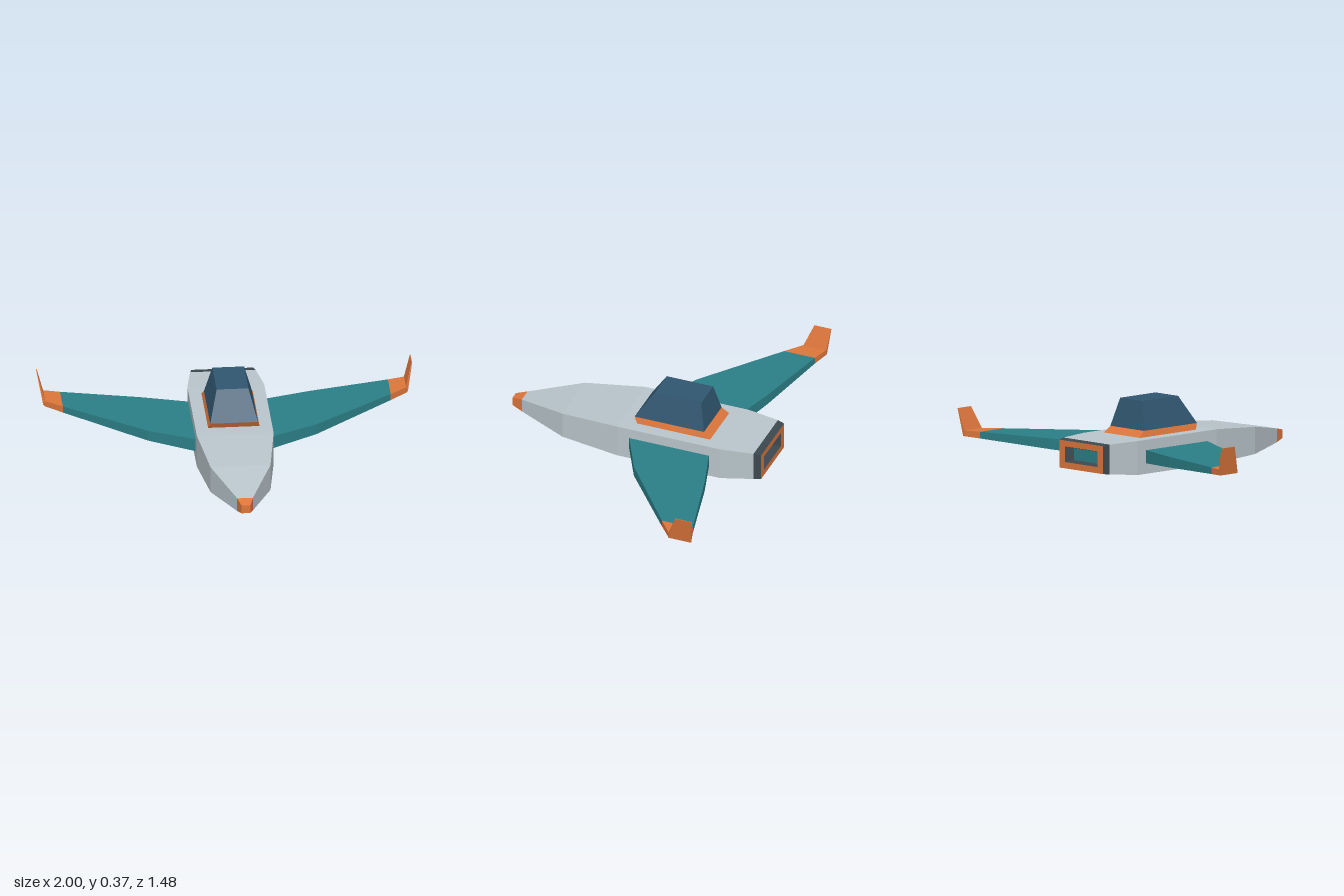
import * as THREE from 'three';

const flat = (name, color) => {
  const m = new THREE.MeshStandardMaterial({ color });
  m.name = name;
  return m;
};

// Skin between four-cornered rings; optional caps close the first and last ring.
function loft(rings, capStart = false, capEnd = false) {
  const pos = [];
  const quad = (a, b, c, d) => pos.push(...a, ...b, ...c, ...a, ...c, ...d);
  for (let r = 0; r < rings.length - 1; r++) {
    const a = rings[r], b = rings[r + 1];
    for (let i = 0; i < 4; i++) {
      const j = (i + 1) % 4;
      quad(a[i], a[j], b[j], b[i]);
    }
  }
  if (capStart) quad(...[...rings[0]].reverse());
  if (capEnd) quad(...rings[rings.length - 1]);
  const g = new THREE.BufferGeometry();
  g.setAttribute('position', new THREE.Float32BufferAttribute(pos, 3));
  g.computeVertexNormals();
  return g;
}

// Rings facing +z, +x and +y
const hullRing = ([z, w, y0, y1]) => [[-w, y0, z], [w, y0, z], [w, y1, z], [-w, y1, z]];
const wingRing = ([x, zf, zb, y0, y1]) => [[x, y0, zf], [x, y0, zb], [x, y1, zb], [x, y1, zf]];
const deckRing = ([y, w, zf, zb]) => [[-w, y, zf], [w, y, zf], [w, y, zb], [-w, y, zb]];
const mirror = (ring) => ring.map(([x, y, z]) => [-x, y, z]).reverse();

export function createModel() {
  const model = new THREE.Group();
  model.name = 'glider';
  const hullGrey = flat('hull grey', 0xb9c5cb);
  const teal = flat('wing teal', 0x2b7f86);
  const orange = flat('trim orange', 0xdd763c);
  const glass = flat('canopy blue', 0x30566f);
  const dark = flat('dark grey', 0x3c484e);

  const add = (name, geometry, material, parent = model) => {
    const mesh = new THREE.Mesh(geometry, material);
    mesh.name = name;
    parent.add(mesh);
  };

  // Fuselage stations from the engine recess to the nose: z, half width, bottom, top
  const panel = [-0.70, 0.095, 0.072, 0.136];
  const opening = [-0.74, 0.122, 0.062, 0.146];
  const rear = [-0.74, 0.165, 0.028, 0.178];
  const tail = [-0.70, 0.175, 0.024, 0.184];
  const body = [
    tail,
    [-0.52, 0.205, 0.004, 0.187],
    [0.07, 0.205, 0.004, 0.187],
    [0.40, 0.16, 0.013, 0.16],
    [0.68, 0.042, 0.033, 0.108],
  ];
  const nose = [0.74, 0.024, 0.048, 0.094];
  const hull = (...stations) => stations.map(hullRing);

  add('fuselage', loft(hull(...body)), hullGrey);
  add('noseTip', loft(hull(body[4], nose), false, true), orange);
  add('tailBand', loft(hull(rear, tail)), dark);
  add('exhaustFrame', loft(hull(opening, rear)), orange);
  add('exhaustWalls', loft(hull(panel, opening)), dark);
  const inner = hullRing(panel);
  add('exhaustPanel', loft([inner, inner], true), teal);

  // Cockpit: flared sill and tapered canopy
  add('canopySill', loft([[0.184, 0.138, -0.02, -0.44], [0.22, 0.127, 0, -0.397]].map(deckRing), true, true), orange);
  add('canopy', loft([[0.22, 0.127, 0, -0.397], [0.372, 0.085, -0.10, -0.365]].map(deckRing), true, true), glass);

  // Wings: x, front z, back z, bottom, top
  const wing = [
    [0.2, 0.002, -0.455, 0.06, 0.131],
    [0.45, -0.125, -0.53, 0.073, 0.131],
    [0.875, -0.455, -0.632, 0.095, 0.131],
  ].map(wingRing);
  const tip = wingRing([0.967, -0.53, -0.66, 0.1, 0.131]);
  const winglet = [
    [[0.963, 0.13, -0.53], [0.972, 0.1, -0.53], [0.972, 0.1, -0.662], [0.963, 0.13, -0.662]],
    [[0.996, 0.25, -0.58], [1, 0.25, -0.58], [1, 0.25, -0.677], [0.996, 0.25, -0.677]],
  ];
  for (const side of ['left', 'right']) {
    const place = (rings) => (side === 'left' ? rings : rings.map(mirror));
    const group = new THREE.Group();
    group.name = side + 'Wing';
    add(side + 'WingPanel', loft(place(wing), true), teal, group);
    add(side + 'WingTip', loft(place([wing[2], tip]), false, true), orange, group);
    add(side + 'Winglet', loft(place(winglet), true, true), orange, group);
    model.add(group);
  }
  return model;
}
